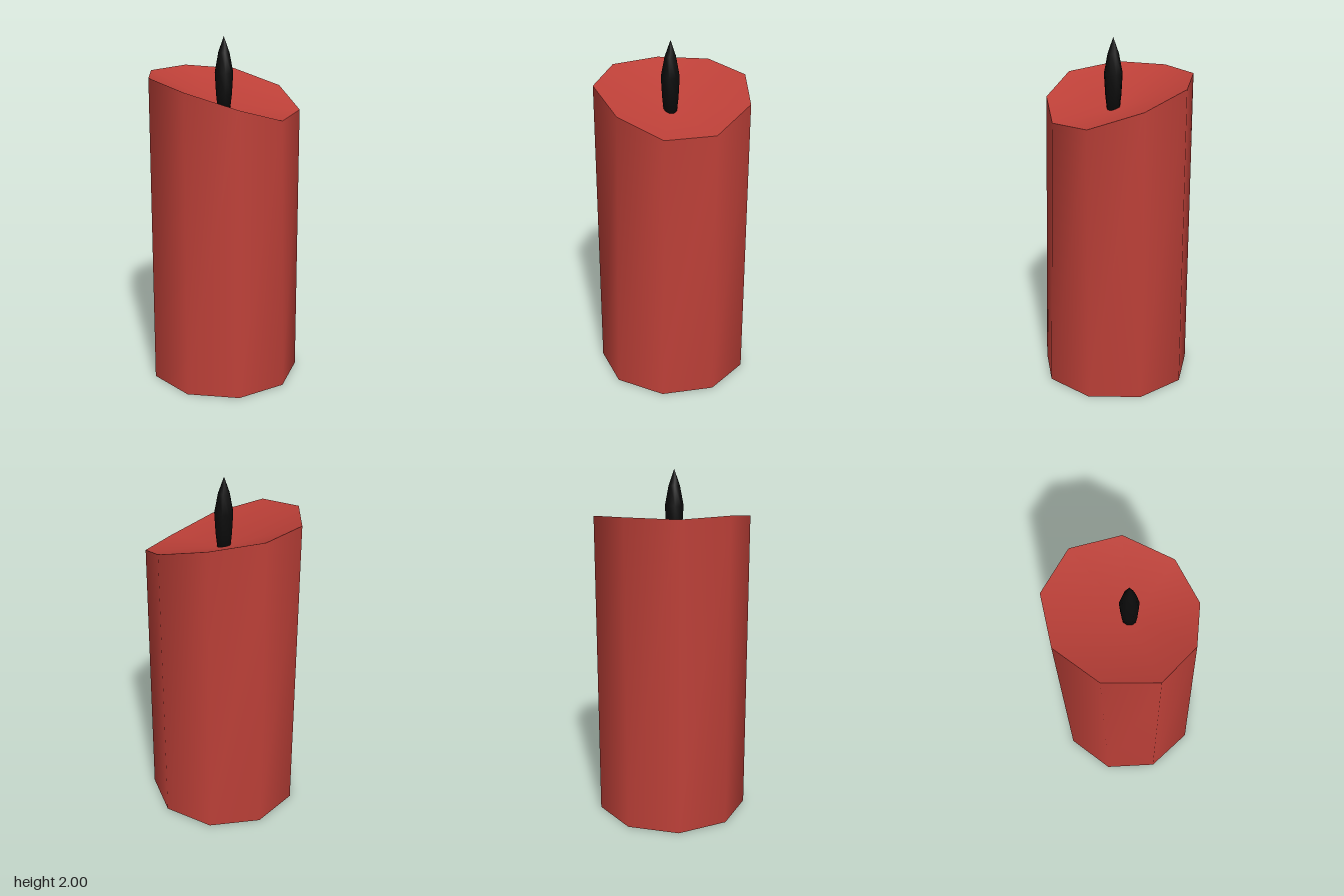
import * as THREE from 'three';
import { toCreasedNormals } from 'three/addons/utils/BufferGeometryUtils.js';

const SIDES = 9;
const RADIUS = 0.44;
const CENTRE_Z = -0.013;

// Molten rim, anticlockwise from the front corner: [x, y, z]
const RIM = [
  [0, 1.655, 0.388], [0.262, 1.57, 0.287], [0.424, 1.585, 0.06],
  [0.381, 1.68, -0.235], [0.15, 1.76, -0.427], [-0.15, 1.79, -0.427],
  [-0.381, 1.79, -0.235], [-0.433, 1.79, 0.063], [-0.283, 1.748, 0.324],
];
const POOL_Y = 1.6;

export function createModel() {
  const group = new THREE.Group();
  const redWax = new THREE.MeshStandardMaterial({ color: 0xbd4038 });
  redWax.name = 'red wax';
  const charredBlack = new THREE.MeshStandardMaterial({ color: 0x0b0b0b });
  charredBlack.name = 'charred black';

  // Wax body: a nine-sided cylinder whose top sags into an uneven rim and dish
  const body = new THREE.CylinderGeometry(RADIUS, RADIUS, 2, SIDES, 1);
  const pos = body.attributes.position;
  for (let i = 0; i < pos.count; i++) {
    const x = pos.getX(i), z = pos.getZ(i);
    if (pos.getY(i) < 0) pos.setXYZ(i, x, 0, z + CENTRE_Z);
    else if (Math.hypot(x, z) < 0.01) pos.setXYZ(i, 0, POOL_Y, 0);
    else {
      const corner = Math.round(Math.atan2(x, z) / (2 * Math.PI) * SIDES + SIDES) % SIDES;
      pos.setXYZ(i, ...RIM[corner]);
    }
  }
  const wax = new THREE.Mesh(toCreasedNormals(body, 1.0), redWax);
  wax.name = 'waxBody';
  group.add(wax);

  // Wick: a slim pointed spindle standing in the dish
  const profile = [
    [0, 1.58], [0.036, 1.59], [0.046, 1.68], [0.053, 1.8], [0.032, 1.91], [0, 2],
  ].map(([r, y]) => new THREE.Vector2(r, y));
  const wick = new THREE.Mesh(new THREE.LatheGeometry(profile, SIDES), charredBlack);
  wick.name = 'wick';
  wick.position.set(-0.004, 0, 0.003);
  group.add(wick);

  return group;
}
